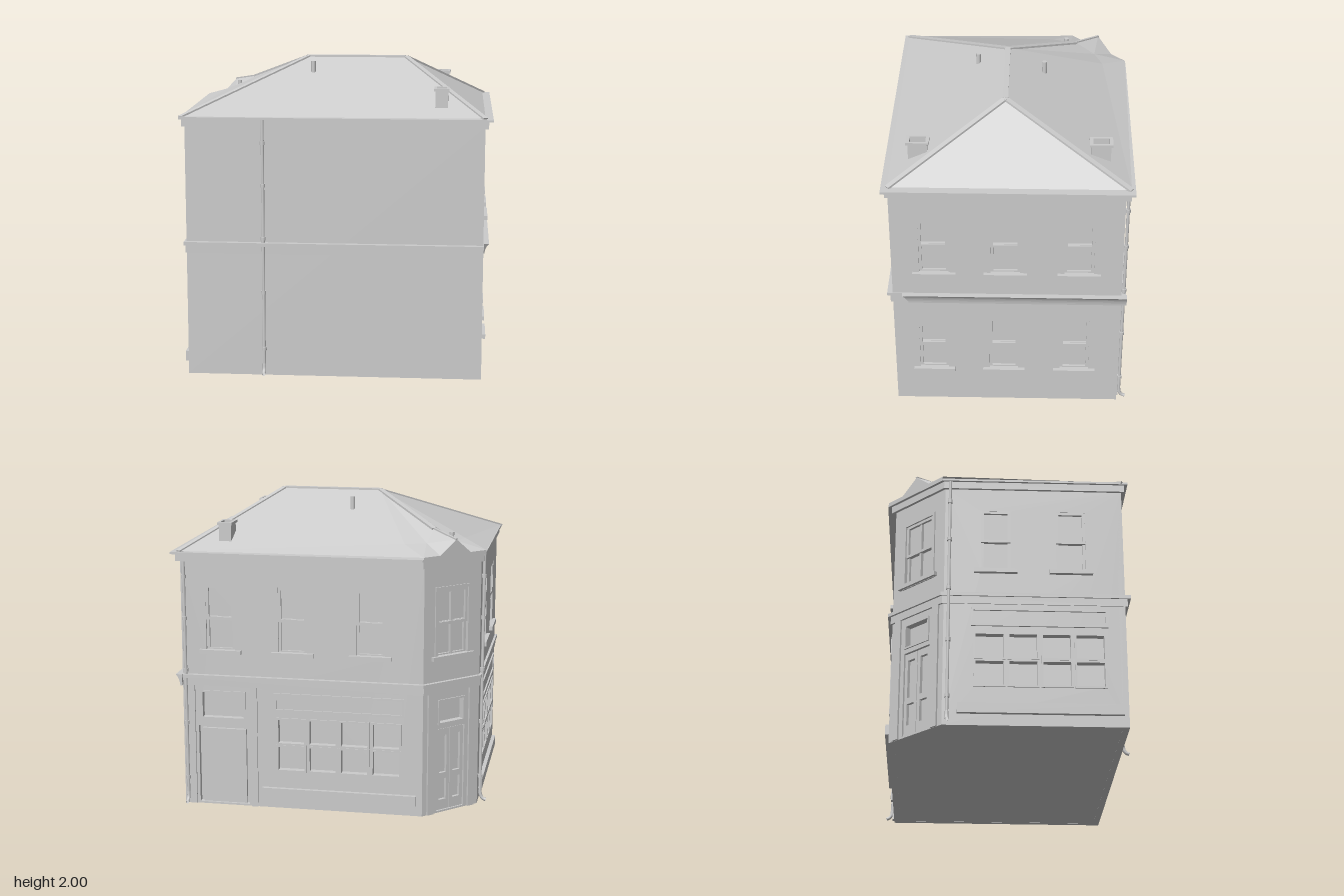
import * as THREE from 'three';

const mat = new THREE.MeshStandardMaterial({ color: 0xcccccc });
const thin = new THREE.MeshStandardMaterial({ color: 0xcccccc, side: THREE.DoubleSide });

// Footprint corners [x, z], each wall running to the viewer's right
const corners = [[-0.95, 0.72], [0.93, 0.72], [0.93, -0.72], [-0.63, -0.72], [-0.95, -0.40]];

function add(parent, name, geo, x = 0, y = 0, z = 0, material = mat) {
  const m = new THREE.Mesh(geo, material);
  m.name = name;
  m.position.set(x, y, z);
  parent.add(m);
  return m;
}
const box = (parent, name, w, h, d, x, y, z) => add(parent, name, new THREE.BoxGeometry(w, h, d), x, y, z);

// Plate w by h with rectangular holes [x0, y0, x1, y1]
function plate(x0, y0, x1, y1, holes, depth) {
  const rect = (T, a, b, c, d) => new T([[a, b], [c, b], [c, d], [a, d]].map(p => new THREE.Vector2(...p)));
  const s = rect(THREE.Shape, x0, y0, x1, y1);
  s.holes = holes.map(h => rect(THREE.Path, ...h));
  return new THREE.ExtrudeGeometry(s, { depth, bevelEnabled: false });
}

// Footprint pushed out by one distance per wall, extruded from y0 to y1
function slab(parent, name, d, y0, y1) {
  const n = corners.length;
  const edges = corners.map((p, i) => {
    const q = corners[(i + 1) % n], l = Math.hypot(q[0] - p[0], q[1] - p[1]);
    const nx = -(q[1] - p[1]) / l, nz = (q[0] - p[0]) / l;
    return [nx, nz, nx * p[0] + nz * p[1] + d[i]];
  });
  const pts = edges.map((b, i) => {
    const a = edges[(i + n - 1) % n], det = a[0] * b[1] - a[1] * b[0];
    return new THREE.Vector2((a[2] * b[1] - a[1] * b[2]) / det, -(a[0] * b[2] - a[2] * b[0]) / det);
  });
  const geo = new THREE.ExtrudeGeometry(new THREE.Shape(pts), { depth: y1 - y0, bevelEnabled: false });
  add(parent, name, geo.rotateX(-Math.PI / 2), 0, y0, 0);
}

// Group whose x runs along wall i and whose z points outward, with a pierced wall skin
function wall(parent, name, i, holes) {
  const p = corners[i], q = corners[(i + 1) % corners.length];
  const g = new THREE.Group();
  g.name = name;
  g.position.set(p[0], 0, p[1]);
  g.rotation.y = Math.atan2(-(q[1] - p[1]), q[0] - p[0]);
  const length = Math.hypot(q[0] - p[0], q[1] - p[1]);
  add(g, name + 'Skin', plate(0, 0, length, 1.62, holes, 0.04), 0, 0, -0.04);
  parent.add(g);
  return g;
}

// Two-part sliding window with sill, in opening [x0, y0, x1, y1]
function sashWindow(g, [x0, y0, x1, y1], split = false) {
  const mid = (y0 + y1) / 2, c = (x0 + x1) / 2, t = 0.018;
  const sash = (a, b, z) => add(g, 'sash', plate(x0, a, x1, b, [[x0 + t, a + t, x1 - t, b - t]], 0.016), 0, 0, z);
  sash(y0, mid + 0.01, -0.03);
  sash(mid - 0.01, y1, -0.018);
  if (split) box(g, 'glazingBar', 0.014, y1 - y0, 0.02, c, mid, -0.02);
  box(g, 'sill', x1 - x0 + 0.085, 0.027, 0.045, c, y0 - 0.004, 0.002);
}

// Raised frame around an opening
function frame(g, name, [x0, y0, x1, y1], t = 0.012) {
  add(g, name, plate(x0 - t, y0 - t, x1 + t, y1 + t, [[x0, y0, x1, y1]], 0.03), 0, 0, -0.022);
}

// Four by two shop panes between u0 and u1
function shopPanes(u0, u1) {
  const list = [], w = (u1 - u0) / 4;
  for (let c = 0; c < 4; c++)
    for (const y of [0.26, 0.44])
      list.push([u0 + c * w + 0.018, y, u0 + (c + 1) * w - 0.018, y + 0.155]);
  return list;
}
function shopFront(g, u0, u1, panes) {
  panes.forEach(p => frame(g, 'shopPane', p));
  const c = (u0 + u1) / 2, w = u1 - u0;
  add(g, 'signBoard', plate(u0, 0.65, u1, 0.77, [[u0 + 0.015, 0.665, u1 - 0.015, 0.755]], 0.01));
  box(g, 'plinthBoard', w + 0.16, 0.065, 0.05, c, 0.105, 0);
}

function downpipe(g, u) {
  const z = 0.016;
  add(g, 'downpipe', new THREE.CylinderGeometry(0.01, 0.01, 1.6, 10), u, 0.86, z);
  for (const y of [0.18, 0.55, 0.9, 1.24, 1.51])
    add(g, 'pipeCollar', new THREE.CylinderGeometry(0.016, 0.016, 0.022, 10), u, y, z);
  const bend = new THREE.CatmullRomCurve3([[0.08, z], [0.045, z + 0.006], [0.025, 0.036], [0.017, 0.055]]
    .map(([y, d]) => new THREE.Vector3(u, y, d)));
  add(g, 'pipeShoe', new THREE.TubeGeometry(bend, 8, 0.011, 10), 0, 0, 0, thin);
}

// Convex polygons drawn as fans, turned to face up
function faces(polys) {
  const out = [];
  for (const poly of polys) {
    const v = poly.map(p => new THREE.Vector3(...p));
    for (let i = 1; i < v.length - 1; i++) {
      const n = v[i].clone().sub(v[0]).cross(v[i + 1].clone().sub(v[0]));
      for (const p of n.y < 0 ? [v[0], v[i + 1], v[i]] : [v[0], v[i], v[i + 1]]) out.push(p.x, p.y, p.z);
    }
  }
  const geo = new THREE.BufferGeometry();
  geo.setAttribute('position', new THREE.Float32BufferAttribute(out, 3));
  geo.computeVertexNormals();
  return geo;
}

function cap(parent, a, b, w = 0.034) {
  const p = new THREE.Vector3(...a), q = new THREE.Vector3(...b);
  const m = box(parent, 'ridgeCap', w, 0.018, p.distanceTo(q), 0, 0, 0);
  m.position.copy(p).add(q).multiplyScalar(0.5);
  m.position.y -= 0.004;
  m.lookAt(q.setY(q.y - 0.004));
}

function buildRoof(parent) {
  const roof = new THREE.Group();
  roof.name = 'roof';
  parent.add(roof);
  const L = [-0.23, 1.995, 0.02], R = [0.41, 1.995, 0.02];
  const FL = [-0.975, 1.67, 0.73], FR = [0.93, 1.675, 0.72], BR = [0.93, 1.675, -0.75];
  // Gablet over the cut corner: corner, valley foot, peak and the points on the main slopes
  const P = [-0.81, 1.775, -0.59], H = [-0.65, 1.813, -0.43];
  const sideL = { E: [-0.98, 1.685, -0.42], M: [-0.89, 1.685, -0.51], A: [-0.83, 1.736, -0.28], V: [-0.79, 1.735, -0.40] };
  const sideB = { E: [-0.63, 1.685, -0.77], M: [-0.72, 1.685, -0.68], A: [-0.49, 1.738, -0.61], V: [-0.62, 1.74, -0.56] };
  const polys = [
    [L, FL, FR, R], [R, FR, BR],
    [L, FL, sideL.A, sideL.V, H], [FL, sideL.E, sideL.A],
    [L, R, BR, sideB.A, sideB.V, H], [BR, sideB.E, sideB.A],
  ];
  const down = p => [p[0], 1.66, p[2]];
  for (const { E, M, A, V } of [sideL, sideB]) {
    polys.push([E, A, V, M], [P, M, V, H]);
    polys.push([E, M, down(M), down(E)], [M, P, down(P), down(M)]);
  }
  add(roof, 'roofSlopes', faces(polys), 0, 0, 0, thin);
  for (const [a, b] of [[L, R], [L, FL], [R, FR], [R, BR], [L, H]]) cap(roof, a, b);
  cap(roof, H, P, 0.015);

  // Hollow chimneys
  for (const z of [-0.57, 0.55]) {
    const stack = (name, w, d, h, y) => add(roof, name,
      plate(-w / 2, -d / 2, w / 2, d / 2, [[-0.031, -0.05, 0.031, 0.05]], h).rotateX(-Math.PI / 2), 0.657, y, z);
    stack('chimneyStack', 0.08, 0.118, 0.15, 1.69);
    stack('chimneyCap', 0.095, 0.142, 0.016, 1.83);
  }
  // Vent pipes
  for (const [x, z, y0, y1] of [[-0.09, -0.22, 1.86, 1.975], [-0.185, 0.21, 1.86, 1.975], [-0.755, -0.37, 1.72, 1.785]])
    add(roof, 'ventPipe', new THREE.CylinderGeometry(0.015, 0.015, y1 - y0, 12), x, (y0 + y1) / 2, z);
}

export function createModel() {
  const model = new THREE.Group();
  model.name = 'cornerShop';
  slab(model, 'core', [-0.035, -0.035, -0.035, -0.035, -0.035], 0.001, 1.62);

  const opening = (c, y0, y1, w = 0.185) => [c - w / 2, y0, c + w / 2, y1];

  // Plain front wall
  const front = wall(model, 'frontWall', 0, []);
  downpipe(front, 0.493);

  // Right wall with two rows of windows
  const rightWins = [
    ...[0.265, 0.71, 1.17].map(u => opening(u, 1.03, 1.457)),
    ...[0.25, 0.7, 1.155].map(u => opening(u, 0.255, 0.668)),
  ];
  const right = wall(model, 'rightWall', 1, rightWins);
  rightWins.forEach(o => sashWindow(right, o));
  const cove = new THREE.Shape();
  cove.moveTo(-0.005, 0.80);
  cove.lineTo(0.008, 0.80);
  cove.quadraticCurveTo(0.012, 0.845, 0.037, 0.873);
  cove.lineTo(-0.005, 0.873);
  const coveGeo = new THREE.ExtrudeGeometry(cove, { depth: 1.415, bevelEnabled: false, curveSegments: 6 });
  coveGeo.rotateY(-Math.PI / 2).translate(1.475, 0, 0);
  const pos = coveGeo.attributes.position;
  for (let i = 0; i < pos.count; i++)
    if (pos.getX(i) < 0.1) pos.setX(i, pos.getX(i) + (0.873 - pos.getY(i)) * 0.55);
  coveGeo.computeVertexNormals();
  add(right, 'coveMoulding', coveGeo);

  // Back wall: side door and shop front
  const backWins = [0.255, 0.725, 1.225].map(u => opening(u, 1.03, 1.457));
  const backPanes = shopPanes(0.61, 1.43);
  const transom = [0.13, 0.59, 0.40, 0.755], door = [0.1, 0.012, 0.43, 0.53];
  const back = wall(model, 'backWall', 2, [...backWins, ...backPanes, transom, door]);
  backWins.forEach(o => sashWindow(back, o));
  shopFront(back, 0.6, 1.44, backPanes);
  frame(back, 'transomFrame', transom);
  box(back, 'sideDoor', 0.29, 0.5, 0.02, 0.265, 0.26, -0.025);
  for (const u of [0.06, 0.47]) box(back, 'pilaster', 0.04, 0.8, 0.02, u, 0.401, 0.002);
  downpipe(back, 0.025);

  // Cut corner: entrance with a window above
  const c = 0.226;
  const cornerWin = [c - 0.12, 1.03, c + 0.12, 1.46];
  const cornerTransom = [c - 0.095, 0.60, c + 0.095, 0.74], entrance = [c - 0.11, 0.012, c + 0.11, 0.56];
  const corner = wall(model, 'cornerWall', 3, [cornerWin, cornerTransom, entrance]);
  sashWindow(corner, cornerWin, true);
  frame(corner, 'windowFrame', cornerWin, 0.02);
  frame(corner, 'transomFrame', cornerTransom);
  for (const s of [-1, 1]) {
    const a = c + s * 0.055;
    add(corner, 'doorLeaf', plate(a - 0.053, 0.013, a + 0.053, 0.555,
      [[a - 0.03, 0.08, a + 0.03, 0.22], [a - 0.03, 0.26, a + 0.03, 0.51]], 0.02), 0, 0, -0.03);
    box(corner, 'pilaster', 0.05, 0.8, 0.02, c + s * 0.165, 0.401, 0.002);
  }

  // Left wall: shop front
  const leftWins = [0.32, 0.79].map(u => opening(u, 1.03, 1.457));
  const leftPanes = shopPanes(0.18, 1.0);
  const left = wall(model, 'leftWall', 4, [...leftWins, ...leftPanes]);
  leftWins.forEach(o => sashWindow(left, o));
  shopFront(left, 0.17, 1.01, leftPanes);
  downpipe(left, 0.03);

  // String course, cornice and eaves, in wall order front, right, back, corner, left
  slab(model, 'fasciaBand', [0.015, 0.002, 0.012, 0.012, 0.006], 0.80, 0.85);
  slab(model, 'ledge', [0.035, 0.004, 0.03, 0.025, 0.015], 0.85, 0.873);
  slab(model, 'cornice', [0.018, 0.022, 0.03, 0.018, 0.016], 1.61, 1.66);
  slab(model, 'eaves', [0.04, 0.05, 0.055, 0.035, 0.03], 1.657, 1.671);
  buildRoof(model);
  return model;
}
